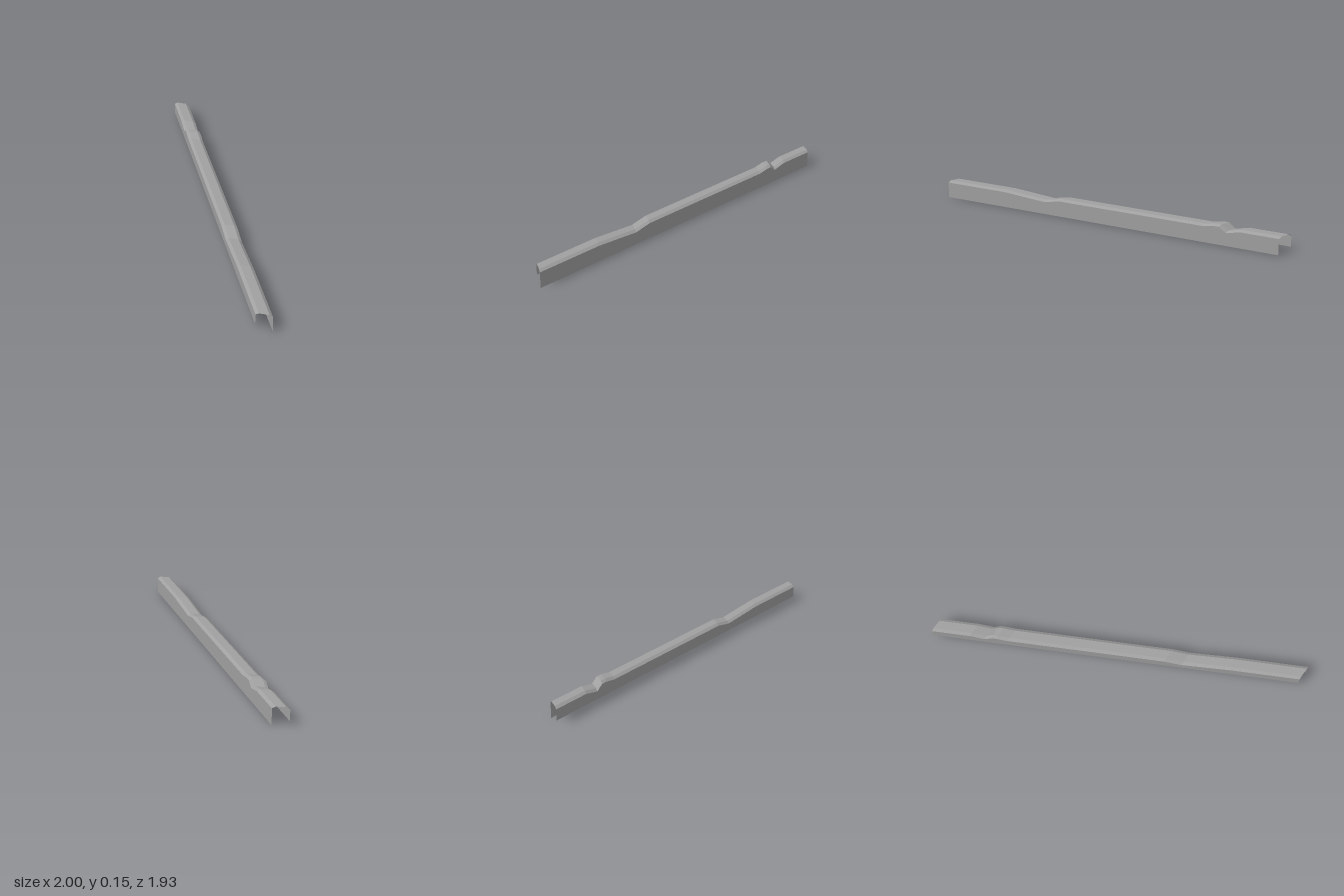
import * as THREE from 'three';

// Diagonal run of the rail, and the skewed step across it
const RUN = 1.89;
const START = { x: -1, z: -0.928 };
const ACROSS = { x: 0.11, z: -0.036 };

// Stations: [position along the run, height change of the top]
const STATIONS = [
  [0, 0], [0.105, 0], [0.145, -0.024], [0.163, 0.014], [0.177, 0.014], [0.208, 0],
  [0.635, 0], [0.683, -0.025], [0.81, 0], [1, 0],
];

// Open channel section: [position across, height, follows the top]
const SECTION = [
  [0, 0.037, 0], [0, 0.118, 1], [0.2, 0.132, 1],
  [0.8, 0.132, 1], [1, 0.118, 1], [1, 0, 0],
];

function point([u, lift], [t, y, follows]) {
  return [
    START.x + RUN * u + ACROSS.x * t,
    y + lift * follows,
    START.z + RUN * u + ACROSS.z * t,
  ];
}

// Strip of quads between two neighbouring section points
function strip(i) {
  const verts = [];
  for (let s = 0; s < STATIONS.length - 1; s++) {
    const a = point(STATIONS[s], SECTION[i]);
    const b = point(STATIONS[s + 1], SECTION[i]);
    const c = point(STATIONS[s + 1], SECTION[i + 1]);
    const d = point(STATIONS[s], SECTION[i + 1]);
    verts.push(...a, ...b, ...c, ...a, ...c, ...d);
  }
  const geometry = new THREE.BufferGeometry();
  geometry.setAttribute('position', new THREE.Float32BufferAttribute(verts, 3));
  geometry.computeVertexNormals();
  return geometry;
}

export function createModel() {
  const group = new THREE.Group();
  group.name = 'railCover';
  const grey = new THREE.MeshStandardMaterial({
    color: 0xa0a0a0, flatShading: true, side: THREE.DoubleSide,
  });
  grey.name = 'grey';

  // Walls, bevels and top of the thin open shell
  ['frontWall', 'frontBevel', 'top', 'backBevel', 'backWall'].forEach((name, i) => {
    const mesh = new THREE.Mesh(strip(i), grey);
    mesh.name = name;
    group.add(mesh);
  });
  return group;
}
